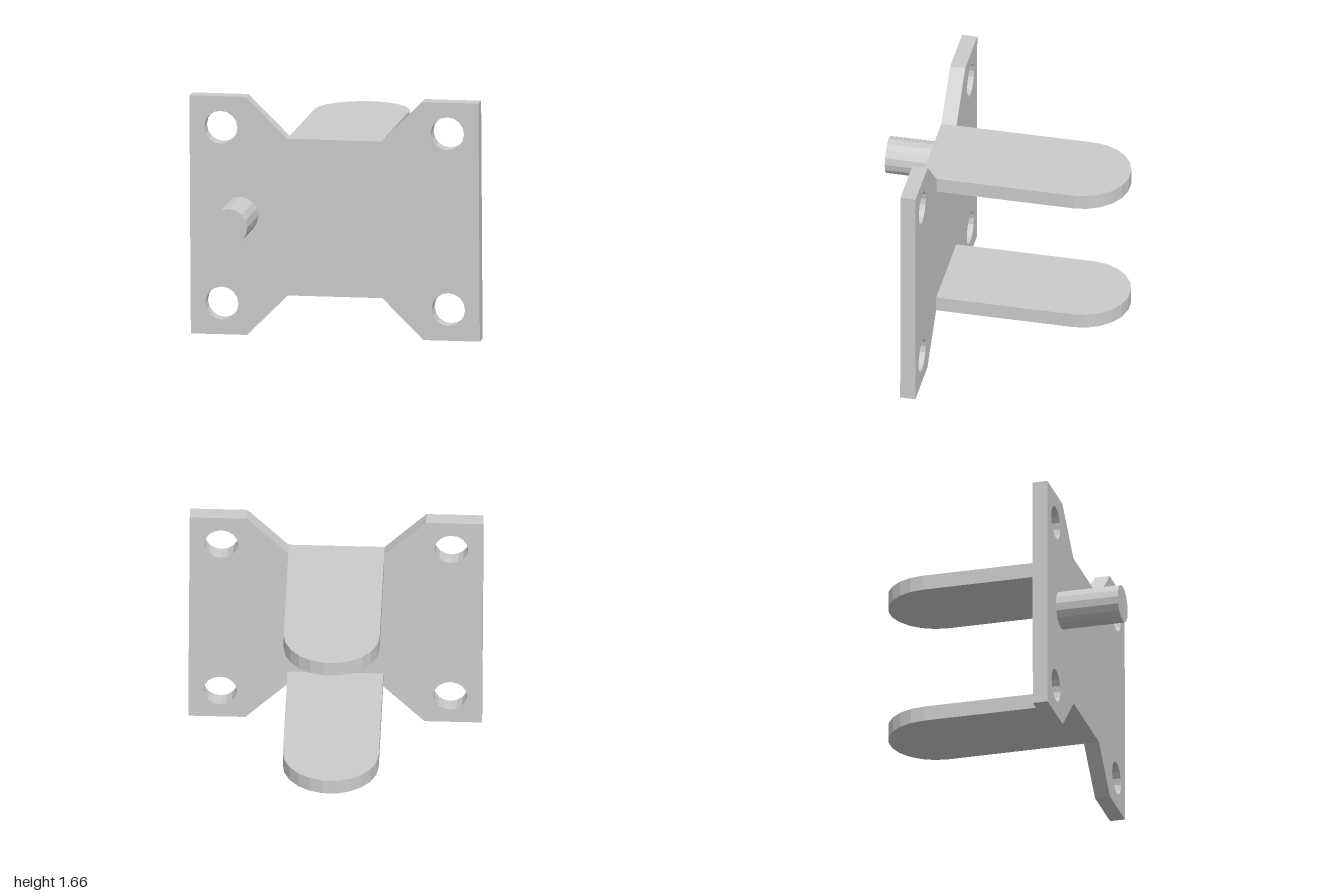
import * as THREE from 'three';

const material = new THREE.MeshStandardMaterial({ color: 0xcccccc, flatShading: true });

const HALF_W = 0.995, HALF_H = 0.822;   // plate
const WAIST_X = 0.325, WAIST_Y = 0.541; // narrow middle of the plate
const CORNER_X = 0.607;                 // inner end of each corner ear
const BACK_Z = 0.367, FRONT_Z = 0.472, THICK = 0.105;

function addMesh(group, name, geometry) {
  const mesh = new THREE.Mesh(geometry, material);
  mesh.name = name;
  group.add(mesh);
  return mesh;
}

// Regular polygon points, used for the holes
function ring(cx, cy, r, n) {
  return Array.from({ length: n }, (_, i) => {
    const a = (i / n) * Math.PI * 2;
    return new THREE.Vector2(cx + r * Math.cos(a), cy + r * Math.sin(a));
  });
}

// Waisted plate with a round hole in each corner ear
function plateGeometry() {
  const top = [[HALF_W, HALF_H], [CORNER_X, HALF_H], [WAIST_X, WAIST_Y],
    [-WAIST_X, WAIST_Y], [-CORNER_X, HALF_H], [-HALF_W, HALF_H]];
  const outline = [...top, ...top.map(([x, y]) => [-x, -y])];
  const shape = new THREE.Shape(outline.map(([x, y]) => new THREE.Vector2(x, y)));
  for (const sx of [-1, 1]) {
    for (const sy of [-1, 1]) {
      shape.holes.push(new THREE.Path(ring(sx * 0.78, sy * 0.607, 0.114, 16)));
    }
  }
  return new THREE.ExtrudeGeometry(shape, { depth: THICK, bevelEnabled: false });
}

// Round-ended tongue, drawn flat and laid down so it points to the back
function tongueGeometry() {
  const points = [new THREE.Vector2(-WAIST_X, -BACK_Z), new THREE.Vector2(WAIST_X, -BACK_Z)];
  const segments = 11;
  for (let i = 0; i <= segments; i++) {
    const a = (i / segments) * Math.PI;
    points.push(new THREE.Vector2(WAIST_X * Math.cos(a), 0.583 + WAIST_X * Math.sin(a)));
  }
  const geometry = new THREE.ExtrudeGeometry(new THREE.Shape(points), { depth: THICK, bevelEnabled: false });
  return geometry.rotateX(-Math.PI / 2);
}

export function createModel() {
  const model = new THREE.Group();
  model.name = 'bracket';

  // Everything is tilted very slightly about the plate centre
  const body = new THREE.Group();
  body.name = 'bracketBody';
  body.position.y = 0.828;
  body.rotation.z = 0.006;
  model.add(body);

  addMesh(body, 'mountingPlate', plateGeometry()).position.z = BACK_Z;

  // Two parallel tongues, flush with the waist edges
  addMesh(body, 'upperTongue', tongueGeometry()).position.y = WAIST_Y - THICK;
  addMesh(body, 'lowerTongue', tongueGeometry()).position.y = -WAIST_Y;

  // Peg on the front face
  const pegLength = 0.907 - FRONT_Z;
  const peg = addMesh(body, 'peg', new THREE.CylinderGeometry(0.128, 0.128, pegLength, 16).rotateX(Math.PI / 2));
  peg.position.set(-0.653, 0.004, FRONT_Z + pegLength / 2);

  return model;
}
